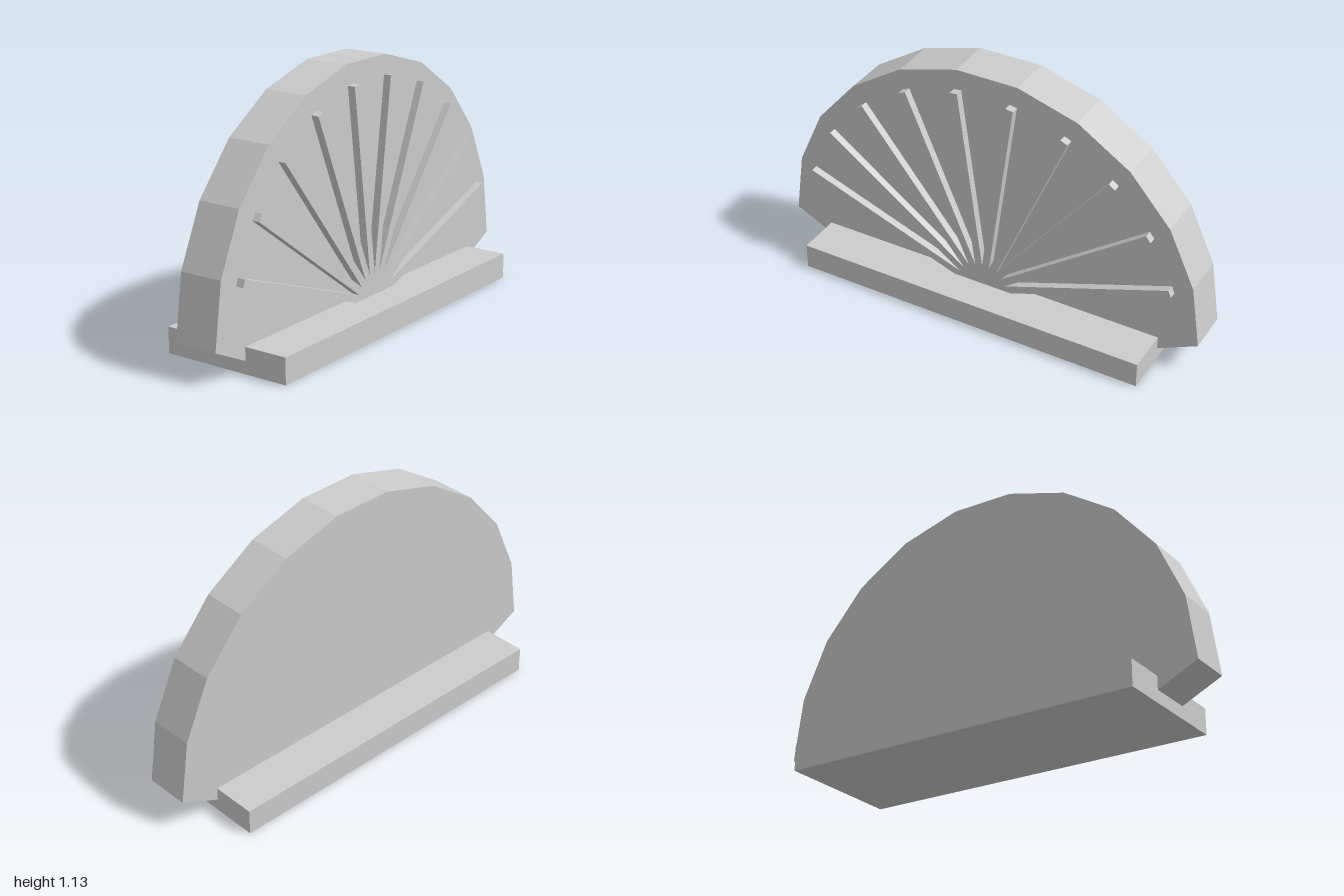
import * as THREE from 'three';

export function createModel() {
  const model = new THREE.Group();
  const grey = new THREE.MeshStandardMaterial({ color: 0xcccccc });
  grey.name = 'light grey';
  grey.flatShading = true;

  const add = (name, geometry, parent = model) => {
    const mesh = new THREE.Mesh(geometry, grey);
    mesh.name = name;
    parent.add(mesh);
    return mesh;
  };

  const SEGMENTS = 11;
  const CENTRE_Y = 0.143;
  const arcPoint = (i, radius) => {
    const a = (i * Math.PI) / SEGMENTS;
    return new THREE.Vector2(radius * Math.cos(a), CENTRE_Y + radius * Math.sin(a));
  };

  // Rectangular stand
  add('base', new THREE.BoxGeometry(1.64, 0.115, 0.6)).position.y = 0.0575;

  // Faceted half-round panel whose lower corners taper into the stand
  const outline = [];
  for (let i = 0; i <= SEGMENTS; i++) outline.push(arcPoint(i, 1));
  outline.push(new THREE.Vector2(-0.72, 0.008), new THREE.Vector2(0.72, 0.008));
  const panel = new THREE.ExtrudeGeometry(new THREE.Shape(outline), {
    depth: 0.2, bevelEnabled: false,
  });
  panel.translate(0, 0, -0.1);
  add('fanPanel', panel);

  // Ribs fanning out from a pivot inside the stand, just in front of the panel
  const ribs = new THREE.Group();
  ribs.name = 'ribs';
  model.add(ribs);
  const pivot = new THREE.Vector2(0, 0.083);
  for (let i = 1; i < SEGMENTS; i++) {
    const tip = arcPoint(i, 0.915);
    const length = tip.distanceTo(pivot);
    const rib = add(`rib${i}`, new THREE.BoxGeometry(length, 0.035, 0.035), ribs);
    rib.position.set((tip.x + pivot.x) / 2, (tip.y + pivot.y) / 2, 0.13);
    rib.rotation.z = Math.atan2(tip.y - pivot.y, tip.x - pivot.x);
  }

  return model;
}
